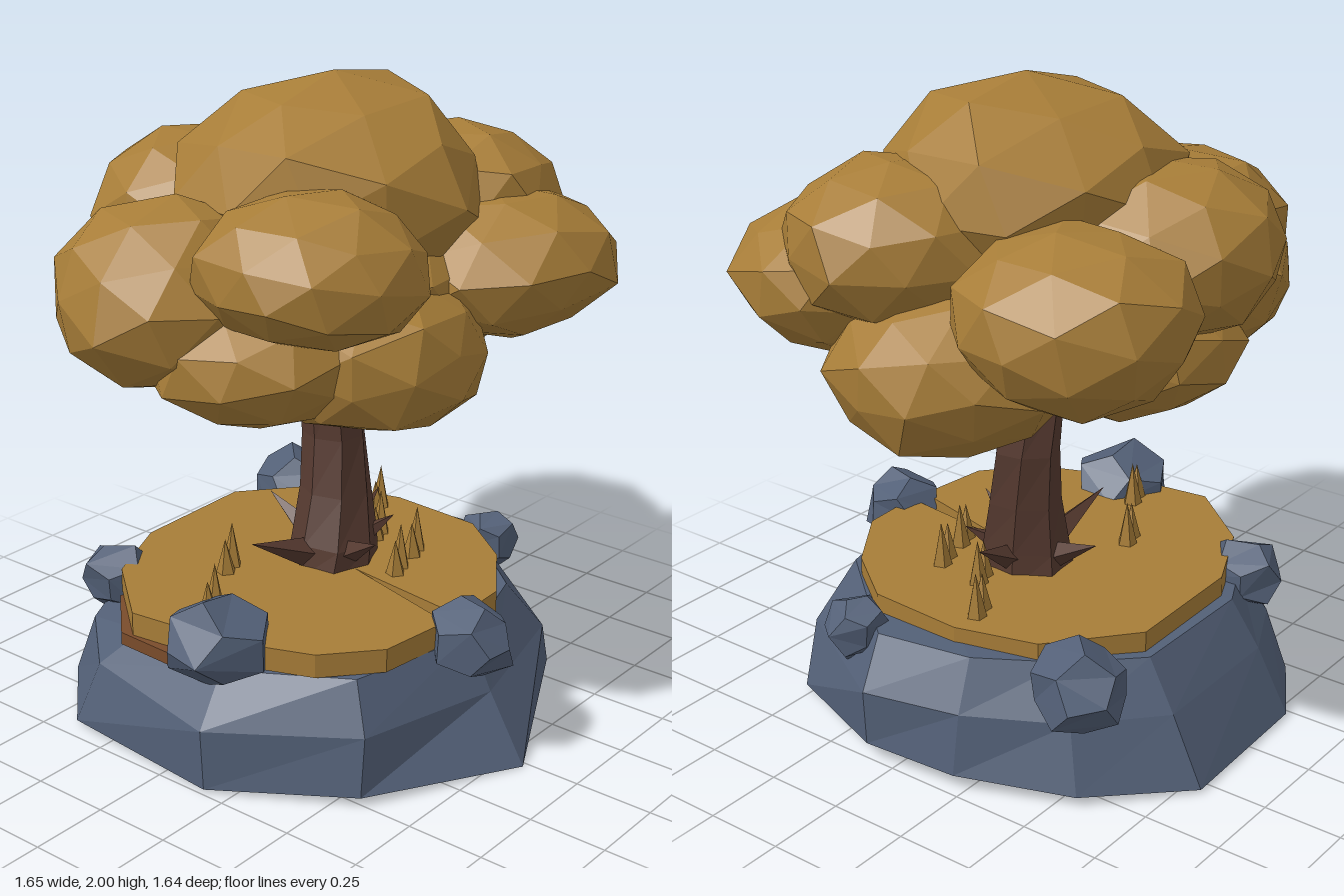
import * as THREE from 'three';

const mat = (name, color) => {
  const m = new THREE.MeshStandardMaterial({ color, flatShading: true });
  m.name = name;
  return m;
};

// Pushes vertices in or out by a repeatable amount that depends on their position
function roughen(geo, amount, seed) {
  const p = geo.attributes.position, v = new THREE.Vector3();
  for (let i = 0; i < p.count; i++) {
    v.fromBufferAttribute(p, i);
    const k = Math.round(v.x * 100) * 12.99 + Math.round(v.y * 100) * 78.23 + Math.round(v.z * 100) * 37.72;
    const h = Math.sin(k + seed * 4.7) * 43758.5453;
    v.multiplyScalar(1 + (h - Math.floor(h) - 0.5) * amount);
    p.setXYZ(i, v.x, v.y, v.z);
  }
  geo.computeVertexNormals();
  return geo;
}

// Faceted solid made of stacked rings of [x, y, z] corners, listed front, left, back, right
function ringSolid(rings) {
  const out = [], n = rings[0].length;
  const tri = (...pts) => pts.forEach((q) => out.push(...q));
  for (let r = 0; r + 1 < rings.length; r++) {
    for (let i = 0; i < n; i++) {
      const j = (i + 1) % n, a = rings[r], b = rings[r + 1];
      tri(a[i], a[j], b[j]);
      tri(a[i], b[j], b[i]);
    }
  }
  const low = rings[0], top = rings[rings.length - 1];
  for (let i = 1; i + 1 < n; i++) {
    tri(low[0], low[i + 1], low[i]);
    tri(top[0], top[i], top[i + 1]);
  }
  const g = new THREE.BufferGeometry();
  g.setAttribute('position', new THREE.Float32BufferAttribute(out, 3));
  g.computeVertexNormals();
  return g;
}

// Flat slab from an outline of [x, z] points
function slab(outline, y, height) {
  const shape = new THREE.Shape(outline.map(([x, z]) => new THREE.Vector2(x, -z)));
  const g = new THREE.ExtrudeGeometry(shape, { depth: height, bevelEnabled: false });
  return g.rotateX(-Math.PI / 2).translate(0, y, 0);
}

export function createModel() {
  const model = new THREE.Group();
  model.name = 'treeOnRock';
  const leaf = mat('ochre leaf', 0xa77d38);
  const stone = mat('slate stone', 0x536077);
  const bark = mat('brown bark', 0x563a30);
  const soil = mat('soil brown', 0x7a4c2b);

  const add = (name, geo, material, parent = model) => {
    const m = new THREE.Mesh(geo, material);
    m.name = name;
    parent.add(m);
    return m;
  };
  const group = (name) => {
    const g = new THREE.Group();
    g.name = name;
    model.add(g);
    return g;
  };
  // Cone with its base at one point and its tip at another
  const spike = (name, from, to, radius, sides, material, parent) => {
    const a = new THREE.Vector3(...from), d = new THREE.Vector3(...to).sub(a);
    const g = new THREE.ConeGeometry(radius, d.length(), sides).translate(0, d.length() / 2, 0);
    const m = add(name, g, material, parent);
    m.position.copy(a);
    m.quaternion.setFromUnitVectors(new THREE.Vector3(0, 1, 0), d.normalize());
  };

  // Rock base
  const foot = [[-0.02, 0, 0.82], [0.57, 0.02, 0.52], [0.75, 0.05, 0.1], [0.73, 0.05, -0.22], [0.58, 0.03, -0.56],
    [0.3, 0.01, -0.81], [-0.22, 0.01, -0.79], [-0.45, 0.02, -0.65], [-0.7, 0.02, -0.4], [-0.74, 0.01, 0.17], [-0.51, 0.03, 0.58]];
  const middle = [[0, 0.2, 0.68], [0.47, 0.2, 0.56], [0.76, 0.23, 0.1], [0.7, 0.24, -0.22], [0.53, 0.23, -0.5],
    [0.29, 0.22, -0.7], [-0.2, 0.22, -0.69], [-0.43, 0.22, -0.58], [-0.65, 0.22, -0.34], [-0.74, 0.2, 0.16], [-0.48, 0.21, 0.57]];
  const rim = [[0, 0.36, 0.6], [0.34, 0.38, 0.5], [0.66, 0.38, 0.12], [0.62, 0.39, -0.2], [0.46, 0.38, -0.43],
    [0.27, 0.37, -0.6], [-0.18, 0.37, -0.6], [-0.38, 0.36, -0.5], [-0.56, 0.33, -0.24], [-0.61, 0.34, 0.13], [-0.43, 0.36, 0.5]];
  add('rockBase', ringSolid([foot, middle, rim]), stone);

  // Soil and grass, with a narrow crack running in from the front
  add('soilEdge', slab([[-0.54, 0.12], [-0.3, 0.1], [-0.3, -0.36], [-0.47, -0.42], [-0.65, -0.24], [-0.66, 0.03]], 0.32, 0.04), soil);
  add('grass', slab([[-0.03, 0.58], [0.03, 0.13], [-0.09, 0.57], [-0.34, 0.54], [-0.5, 0.4], [-0.6, 0.14],
    [-0.64, -0.2], [-0.44, -0.44], [-0.18, -0.56], [0.25, -0.57], [0.5, -0.36], [0.57, -0.1],
    [0.55, 0.22], [0.4, 0.42], [0.18, 0.57]], 0.36, 0.075), leaf);

  // Boulders around the rim: position, radii
  const boulders = group('boulders');
  [[-0.58, 0.42, 0.1, 0.185, 0.15, 0.19], [-0.05, 0.39, 0.64, 0.15, 0.12, 0.13], [0.63, 0.36, 0.23, 0.1, 0.11, 0.1],
    [0.53, 0.38, -0.54, 0.17, 0.13, 0.155], [-0.37, 0.36, -0.52, 0.14, 0.11, 0.12]].forEach(([x, y, z, a, b, c], i) => {
    const m = add('boulder', roughen(new THREE.DodecahedronGeometry(1), 0.25, i + 1), stone, boulders);
    m.position.set(x, y, z);
    m.scale.set(a, b, c);
    m.rotation.y = i * 1.3;
  });

  // Bent trunk: centre and radius of each section
  const sections = [[0.07, 0.38, 0, 0.15], [0.08, 0.5, 0.005, 0.138], [0.105, 0.66, -0.01, 0.115],
    [0.12, 0.84, -0.03, 0.102], [0.105, 1.02, -0.045, 0.095], [0.08, 1.35, -0.05, 0.07]];
  add('trunk', ringSolid(sections.map(([x, y, z, r], k) => Array.from({ length: 7 }, (_, i) => {
    const t = (i / 7) * Math.PI * 2 + k * 0.08, s = r * (1 + 0.08 * Math.sin(i * 2.4));
    return [x + Math.sin(t) * s, y, z + Math.cos(t) * s];
  }))), bark);
  spike('branch', [0.1, 0.98, -0.04], [-0.18, 1.14, -0.25], 0.045, 5, bark, model);

  // Pointed roots
  const roots = group('roots');
  [[-0.26, 0.57, -0.05], [0.35, 0.57, -0.02], [-0.02, 0.57, 0.25], [0.22, 0.56, 0.14], [0.1, 0.57, -0.28]]
    .forEach((tip) => spike('root', [0.07, 0.43, 0], tip, 0.07, 4, bark, roots));

  // Grass tufts
  const tufts = group('grassTufts');
  [[-0.22, -0.18], [0.11, 0.24], [0.25, 0.2], [0.28, 0.03], [0.45, -0.1], [-0.48, -0.02]].forEach(([x, z]) => {
    [[-0.025, 0.01, 0.12], [0.025, -0.01, 0.15]].forEach(([dx, dz, h]) =>
      spike('blade', [x + dx, 0.43, z + dz], [x + dx * 1.2, 0.43 + h, z + dz * 1.2], 0.033, 5, leaf, tufts));
  });

  // Leaf masses: centre, radii
  const crown = group('crown');
  [[0.08, 1.66, 0, 0.48, 0.34, 0.47], [-0.38, 1.55, 0.29, 0.34, 0.22, 0.33], [-0.46, 1.41, -0.17, 0.36, 0.28, 0.35],
    [-0.02, 1.53, -0.44, 0.36, 0.26, 0.35], [0.48, 1.46, -0.47, 0.34, 0.26, 0.37], [0.48, 1.56, 0.18, 0.32, 0.24, 0.34],
    [0.42, 1.42, 0.38, 0.38, 0.24, 0.35], [-0.08, 1.24, 0.29, 0.37, 0.24, 0.33], [0.46, 1.23, -0.03, 0.37, 0.26, 0.38],
    [-0.36, 1.27, 0.08, 0.34, 0.22, 0.34], [0, 1.23, -0.3, 0.36, 0.23, 0.36], [-0.31, 1.37, -0.35, 0.32, 0.25, 0.3],
    [0.05, 1.36, 0, 0.5, 0.34, 0.48]].forEach(([x, y, z, a, b, c], i) => {
    const g = new THREE.IcosahedronGeometry(1, 1).rotateY(i * 0.9).rotateX(i * 0.5);
    const m = add('leafMass', roughen(g, 0.13, i + 1), leaf, crown);
    m.position.set(x, y, z);
    m.scale.set(a, b, c);
  });
  return model;
}
